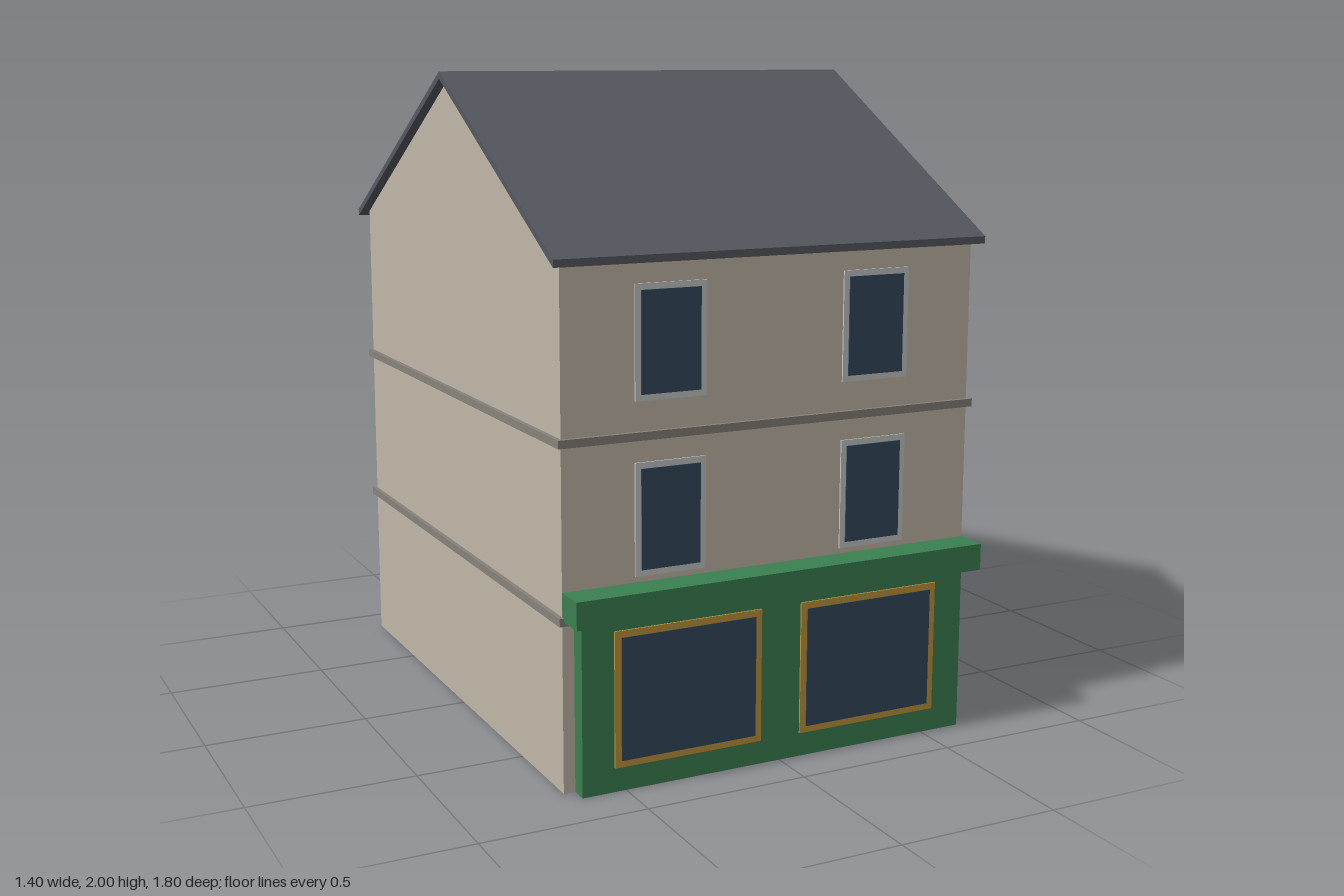
import * as THREE from 'three';

const paint = (name, color, side = THREE.FrontSide) => {
  const m = new THREE.MeshStandardMaterial({ color, side });
  m.name = name;
  return m;
};

export function createModel() {
  const house = new THREE.Group();
  house.name = 'terracedShopHouse';

  const render = paint('beigeRender', 0xc1b7a8, THREE.DoubleSide);
  const stone = paint('greyStone', 0x87827b);
  const slate = paint('darkSlate', 0x555960);
  const green = paint('shopGreen', 0x3a8052);
  const glass = paint('blueGlass', 0x334a5c);
  const white = paint('paleFrame', 0xc6c9c9);
  const gold = paint('goldTrim', 0xc0963a);

  const add = (name, geometry, material, parent = house) => {
    const mesh = new THREE.Mesh(geometry, material);
    mesh.name = name;
    parent.add(mesh);
    return mesh;
  };
  // Box given by its lower and upper limits on each axis
  const box = (name, material, [x0, x1], [y0, y1], [z0, z1], parent) =>
    add(name, new THREE.BoxGeometry(x1 - x0, y1 - y0, z1 - z0), material, parent)
      .position.set((x0 + x1) / 2, (y0 + y1) / 2, (z0 + z1) / 2);

  const W = 0.67, FRONT = 0.805, BACK = -0.87, MID = (FRONT + BACK) / 2;
  const EAVE = 1.512, APEX = 1.978;
  const outline = (pts) => new THREE.Shape(pts.map(([z, y]) => new THREE.Vector2(z, y)));

  // Hollow walls, open underneath: two gables, a front and a back
  const gable = outline([[BACK, 0], [FRONT, 0], [FRONT, EAVE], [MID, APEX], [BACK, EAVE]]);
  for (const s of [-1, 1]) {
    const side = add(s > 0 ? 'leftGable' : 'rightGable', new THREE.ShapeGeometry(gable).rotateY(-Math.PI / 2), render);
    side.position.x = s * W;
    const wall = add(s > 0 ? 'frontWall' : 'backWall', new THREE.PlaneGeometry(2 * W, EAVE), render);
    wall.position.set(0, EAVE / 2, s > 0 ? FRONT : BACK);
    if (s < 0) wall.rotation.y = Math.PI;
  }

  // Thin pitched roof overhanging on all sides
  const RX = 0.7, RF = 0.835, RB = -0.9;
  const chevron = outline([[RB, 1.495], [MID, APEX], [RF, 1.495], [RF, 1.517], [MID, 2], [RB, 1.517]]);
  const roof = new THREE.ExtrudeGeometry(chevron, { depth: 2 * RX, bevelEnabled: false });
  add('roof', roof.translate(0, 0, -RX).rotateY(-Math.PI / 2), slate);

  // Floor slabs showing as string courses
  for (const y of [0.507, 1.01])
    box('floorBand', stone, [-W - 0.013, W + 0.013], [y - 0.012, y + 0.012], [BACK - 0.013, FRONT + 0.013]);

  // Framed pane facing +z, made of a frame plate and a raised glass plate
  const pane = (name, w, h, rim, frameMaterial) => {
    const group = new THREE.Group();
    group.name = name;
    box('frame', frameMaterial, [-w / 2, w / 2], [-h / 2, h / 2], [0, 0.005], group);
    const gw = w / 2 - rim, gh = h / 2 - rim;
    box('glass', glass, [-gw, gw], [-gh, gh], [0.003, 0.008], group);
    house.add(group);
    return group;
  };

  // Sash windows: two floors in front, three behind
  for (const x of [-0.336, 0.336])
    [0.268, 0.77, 1.272].forEach((y, floor) => {
      if (floor > 0) pane('frontWindow', 0.222, 0.328, 0.018, white).position.set(x, y, FRONT);
      const rear = pane('backWindow', 0.222, 0.328, 0.018, white);
      rear.position.set(x, y, BACK);
      rear.rotation.y = Math.PI;
    });

  // Shopfront with fascia and display windows
  box('shopFront', green, [-0.635, 0.635], [0, 0.508], [FRONT + 0.001, 0.857]);
  box('shopFascia', green, [-W, W], [0.508, 0.589], [FRONT + 0.001, 0.905]);
  for (const x of [-0.301, 0.301])
    pane('displayWindow', 0.47, 0.402, 0.02, gold).position.set(x, 0.273, 0.857);

  return house;
}
